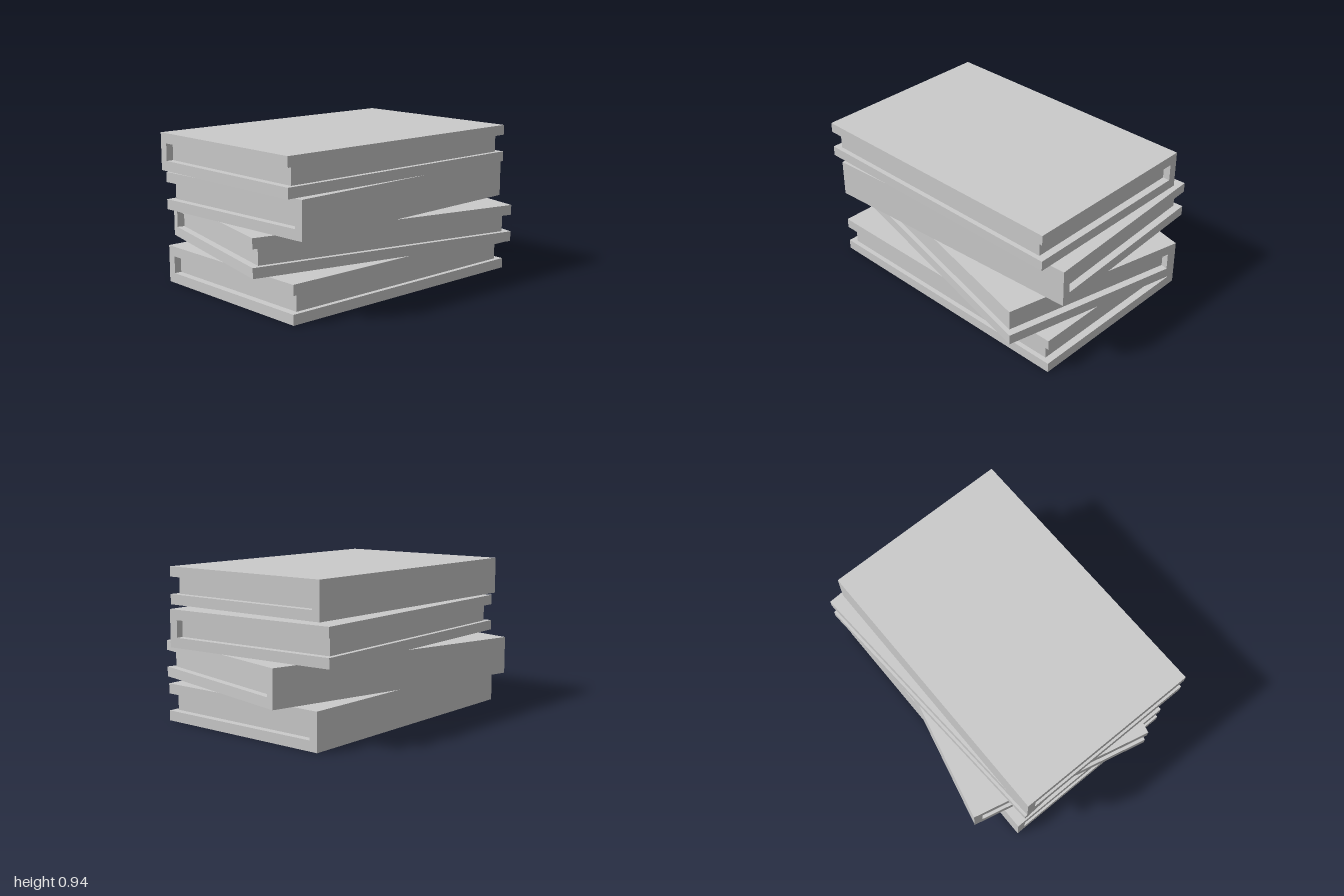
import * as THREE from 'three';

const W = 1.19, H = 0.231, D = 1.773; // closed book
const BOARD = 0.0625, SPINE = 0.055; // cover thickness
const FORE = 0.03, END = 0.046; // how far the pages sit back

const material = new THREE.MeshStandardMaterial({ color: 0xcccccc, flatShading: true });

// One book, spine towards -x, standing on its own y = 0
function makeBook(name) {
  const book = new THREE.Group();
  book.name = name;

  // C-shaped cover: two boards joined by the spine
  const l = -W / 2, r = W / 2;
  const profile = new THREE.Shape([
    [l, 0], [r, 0], [r, BOARD], [l + SPINE, BOARD],
    [l + SPINE, H - BOARD], [r, H - BOARD], [r, H], [l, H],
  ].map(([x, y]) => new THREE.Vector2(x, y)));
  const coverGeometry = new THREE.ExtrudeGeometry(profile, { depth: D, bevelEnabled: false });
  coverGeometry.translate(0, 0, -D / 2);
  const cover = new THREE.Mesh(coverGeometry, material);
  cover.name = 'cover';

  // Page block, set back on its three open edges
  const pageWidth = W - SPINE - FORE;
  const pages = new THREE.Mesh(
    new THREE.BoxGeometry(pageWidth, H - 2 * BOARD, D - 2 * END), material);
  pages.name = 'pages';
  pages.position.set(l + SPINE + pageWidth / 2, H / 2, 0);

  book.add(cover, pages);
  return book;
}

export function createModel() {
  const stack = new THREE.Group();
  stack.name = 'bookStack';

  // Name, position and turn of each book, from the bottom up
  const books = [
    ['bottomBook', 0.015, 0.003, 0.019, 0],
    ['secondBook', 0, 0.235, 0, -0.23],
    ['thirdBook', -0.005, 0.469, 0.01, Math.PI + 0.054],
    ['topBook', 0.033, 0.713, 0.064, 0],
  ];
  for (const [name, x, y, z, turn] of books) {
    const book = makeBook(name);
    book.position.set(x, y, z);
    book.rotation.y = turn;
    stack.add(book);
  }
  return stack;
}
